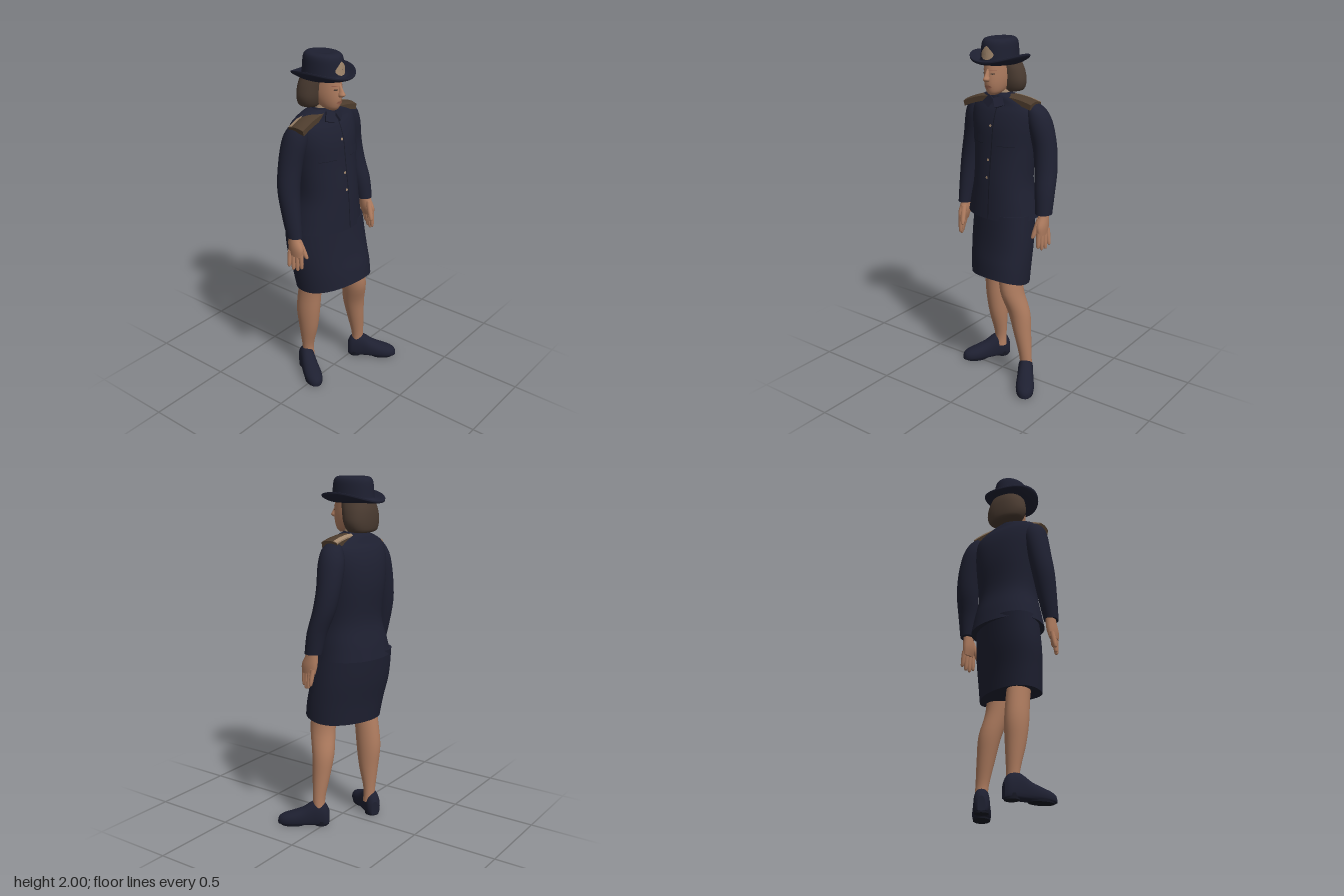
import * as THREE from 'three';

const mat = (name, color) => new THREE.MeshStandardMaterial({ name, color });

// Smooth body through horizontal ellipses [x, y, z, rx, rz]; power > 2 squares them off
function loft(rows, { steps = 4, sides = 28, power = 2, shear = 0 } = {}) {
  const rings = [], last = rows.length - 1;
  const at = i => rows[Math.min(last, Math.max(0, i))];
  for (let i = 0; i < last; i++) for (let k = 0; k < steps; k++) {
    const t = k / steps;
    rings.push(rows[i].map((b, n) => {
      const a = at(i - 1)[n], c = at(i + 1)[n], d = at(i + 2)[n];
      return b + 0.5 * t * (c - a + t * (2 * a - 5 * b + 4 * c - d + t * (3 * (b - c) + d - a)));
    }));
  }
  rings.push(rows[last]);
  const pos = [], idx = [];
  const curve = v => Math.sign(v) * Math.abs(v) ** (2 / power);
  const addRing = ([x, y, z, rx, rz]) => {
    for (let s = 0; s < sides; s++) {
      const a = s / sides * Math.PI * 2, dx = rx * curve(Math.cos(a));
      pos.push(x + dx, y, z + rz * curve(Math.sin(a)) + shear * dx);
    }
  };
  rings.forEach(addRing);
  for (let j = 0; j < rings.length - 1; j++) for (let s = 0; s < sides; s++) {
    const a = j * sides + s, b = j * sides + (s + 1) % sides;
    idx.push(a, a + sides, b, b, a + sides, b + sides);
  }
  // End caps have their own vertices so the rims stay crisp
  [rings[0], rings[rings.length - 1]].forEach((r, top) => {
    const base = pos.length / 3;
    addRing(r);
    pos.push(r[0], r[1], r[2]);
    for (let s = 0; s < sides; s++) {
      const a = base + s, b = base + (s + 1) % sides;
      idx.push(base + sides, top ? b : a, top ? a : b);
    }
  });
  const g = new THREE.BufferGeometry();
  g.setAttribute('position', new THREE.Float32BufferAttribute(pos, 3));
  g.setIndex(idx);
  g.computeVertexNormals();
  return g;
}

// Move every vertex by a rule
function bend(g, rule) {
  const p = g.attributes.position, v = new THREE.Vector3();
  for (let i = 0; i < p.count; i++) {
    rule(v.fromBufferAttribute(p, i));
    p.setXYZ(i, v.x, v.y, v.z);
  }
  g.computeVertexNormals();
  return g;
}

export function createModel() {
  const root = new THREE.Group();
  root.name = 'uniformedWoman';
  const navy = mat('navy cloth', 0x1e2031);
  const seam = mat('dark seam', 0x161824);
  const skin = mat('skin', 0xb07d60);
  const lip = mat('lips', 0x9c644f);
  const hair = mat('brown hair', 0x4a3b31);
  const braid = mat('brown shoulder board', 0x4d3c2d);
  const tan = mat('tan cloth and metal', 0xa0866c);

  const add = (name, geo, material, parent = root) => {
    const m = new THREE.Mesh(geo, material);
    m.name = name;
    parent.add(m);
    return m;
  };

  // Thin detail laid on the front of another part
  const ray = new THREE.Raycaster(), dir = new THREE.Vector3(0, 0, -1);
  const lay = (name, geo, material, target, x, y, lift = 0.004) => {
    geo.translate(x, y, 0);
    bend(geo, v => {
      ray.set(new THREE.Vector3(v.x, v.y, 5), dir);
      const hit = ray.intersectObject(target)[0];
      v.z = (hit ? hit.point.z : 0) + lift;
    });
    return add(name, geo, material);
  };

  // Jacket and skirt
  const jacket = add('jacket', loft([
    [-0.027, 1.0, -0.055, 0.226, 0.179], [-0.024, 1.09, -0.049, 0.208, 0.168],
    [-0.02, 1.22, -0.04, 0.184, 0.15], [-0.023, 1.4, -0.057, 0.196, 0.145],
    [-0.027, 1.52, -0.06, 0.212, 0.134], [-0.03, 1.6, -0.06, 0.216, 0.11],
    [-0.032, 1.645, -0.058, 0.195, 0.084], [-0.037, 1.682, -0.052, 0.12, 0.07],
    [-0.04, 1.697, -0.045, 0.06, 0.055]], { sides: 40, power: 2.2, shear: 0.09 }), navy);
  const skirt = loft([
    [-0.01, 0.615, 0.005, 0.208, 0.163], [-0.015, 0.73, -0.01, 0.217, 0.164],
    [-0.023, 0.87, -0.037, 0.224, 0.164], [-0.025, 1.03, -0.056, 0.215, 0.163]],
    { sides: 40, power: 2.15, shear: 0.26 });
  add('skirt', bend(skirt, v => {
    const lift = Math.max(0, v.z + 0.05);
    if (v.y < 0.8) v.y += lift * lift * 0.9 * (0.8 - v.y) / 0.185;
  }), navy);

  // Jacket front: closing edge, pocket flaps and buttons
  lay('frontEdge', new THREE.PlaneGeometry(0.006, 0.62, 1, 30), seam, jacket, -0.012, 1.315, 0.002);
  for (const s of [-1, 1]) {
    lay('chestPocketFlap', new THREE.PlaneGeometry(0.1, 0.045, 8, 3), navy, jacket, -0.025 + s * 0.1, 1.45, 0.009);
    lay('chestFlapEdge', new THREE.PlaneGeometry(0.1, 0.005, 8, 1), seam, jacket, -0.025 + s * 0.1, 1.426, 0.005);
  }
  for (const y of [1.53, 1.34, 1.24])
    lay('button', new THREE.CircleGeometry(0.008, 12), tan, jacket, -0.028, y, 0.006);

  // Neck, shirt collar, jacket collar and collar points
  add('neck', loft([[-0.043, 1.62, -0.045, 0.05, 0.05], [-0.044, 1.69, -0.04, 0.046, 0.048],
    [-0.045, 1.77, -0.04, 0.048, 0.055]]), skin);
  add('shirtCollar', loft([[-0.043, 1.68, -0.044, 0.058, 0.058], [-0.044, 1.717, -0.044, 0.05, 0.053]],
    { steps: 2 }), tan);
  add('collar', loft([[-0.04, 1.645, -0.045, 0.088, 0.077], [-0.042, 1.675, -0.045, 0.074, 0.068],
    [-0.043, 1.702, -0.047, 0.06, 0.06]], { steps: 2 }), navy);
  for (const s of [-1, 1]) {
    const point = add('collarPoint', new THREE.BoxGeometry(0.055, 0.055, 0.012), navy);
    point.position.set(-0.038 + s * 0.034, 1.657, 0.032);
    point.rotation.set(-0.5, s * 0.35, s * 0.5);
  }

  // Shoulder boards draped over the shoulders, with a tan rear band
  const drape = g => bend(g, v => { v.y -= 4.5 * v.z * v.z + 0.9 * v.x * v.x; });
  for (const [name, x1, y1, x2, y2] of [['right', -0.272, 1.643, -0.085, 1.697], ['left', 0.192, 1.675, 0.01, 1.7]]) {
    const board = new THREE.Group();
    board.name = name + 'ShoulderBoard';
    const length = Math.hypot(x2 - x1, y2 - y1);
    add('boardTop', drape(new THREE.BoxGeometry(length, 0.03, 0.1, 8, 1, 8)), braid, board);
    add('boardBand', drape(new THREE.BoxGeometry(length * 0.98, 0.008, 0.023, 8, 1, 3).translate(0, 0.014, -0.039)), tan, board);
    board.position.set((x1 + x2) / 2, (y1 + y2) / 2 - 0.012, -0.043);
    board.rotation.z = Math.atan((y2 - y1) / (x2 - x1));
    root.add(board);
  }

  // Sleeves
  add('rightSleeve', loft([
    [-0.302, 1.01, -0.038, 0.04, 0.046], [-0.297, 1.12, -0.06, 0.051, 0.055],
    [-0.287, 1.28, -0.086, 0.064, 0.062], [-0.263, 1.42, -0.09, 0.067, 0.068],
    [-0.236, 1.54, -0.08, 0.069, 0.075], [-0.224, 1.6, -0.07, 0.058, 0.064],
    [-0.214, 1.632, -0.062, 0.038, 0.048], [-0.2, 1.65, -0.06, 0.012, 0.02]]), navy);
  add('leftSleeve', loft([
    [0.283, 1.06, 0, 0.046, 0.05], [0.274, 1.18, -0.02, 0.057, 0.056],
    [0.256, 1.3, -0.055, 0.065, 0.063], [0.236, 1.42, -0.071, 0.068, 0.068],
    [0.207, 1.54, -0.067, 0.071, 0.075], [0.189, 1.61, -0.06, 0.059, 0.064],
    [0.175, 1.645, -0.056, 0.036, 0.046], [0.16, 1.665, -0.052, 0.012, 0.02]]), navy);

  // Hands: palm, four lightly fanned fingers and a thumb
  const hand = (name, x, y, z, side) => {
    const g = new THREE.Group();
    g.name = name;
    add('palm', loft([[side * 0.008, -0.112, 0.02, 0.018, 0.044], [side * 0.003, -0.065, 0.018, 0.027, 0.05],
      [0, -0.01, 0.005, 0.028, 0.037], [0, 0.03, 0, 0.028, 0.032]], { sides: 16 }), skin, g);
    const finger = (fname, a, b, r) => {
      const mid = (t, k) => [0, 1, 2].map(i => a[i] + (b[i] - a[i]) * t).concat(r * k, r * k);
      add(fname, loft([mid(1, 0.15), mid(0.93, 0.7), mid(0.5, 0.95), mid(0, 1)], { steps: 2, sides: 10 }), skin, g);
    };
    [0.178, 0.197, 0.202, 0.188].forEach((len, i) => {
      const fz = -0.013 + i * 0.022;
      finger('finger', [side * (0.014 - i * 0.004), -0.085, fz], [side * (0.032 - i * 0.01), -len, fz + 0.006], 0.0145);
    });
    finger('thumb', [-side * 0.006, -0.02, 0.034], [-side * 0.026, -0.13, 0.074], 0.0165);
    g.position.set(x, y, z);
    root.add(g);
  };
  hand('rightHand', -0.302, 1.01, -0.047, -1);
  hand('leftHand', 0.287, 1.06, 0.003, 1);

  // Legs
  add('rightLeg', loft([
    [-0.1, 0.08, -0.12, 0.036, 0.036], [-0.103, 0.16, -0.122, 0.038, 0.034],
    [-0.11, 0.3, -0.11, 0.055, 0.058], [-0.115, 0.43, -0.105, 0.064, 0.074],
    [-0.115, 0.57, -0.09, 0.063, 0.074], [-0.115, 0.7, -0.065, 0.065, 0.076]]), skin);
  add('leftLeg', loft([
    [0.197, 0.08, 0.03, 0.036, 0.036], [0.193, 0.16, 0.035, 0.038, 0.035],
    [0.17, 0.3, 0.034, 0.051, 0.052], [0.147, 0.43, 0.036, 0.063, 0.066],
    [0.113, 0.57, 0.062, 0.064, 0.078], [0.1, 0.7, 0.055, 0.065, 0.08]]), skin);

  // Shoes, swept from heel to toe: [distance, half width, height]
  const shoeRows = [[0, 0.022, 0.09], [0.02, 0.04, 0.13], [0.06, 0.045, 0.15], [0.1, 0.046, 0.14],
    [0.15, 0.05, 0.106], [0.21, 0.053, 0.082], [0.26, 0.045, 0.066], [0.29, 0.027, 0.05], [0.3, 0.008, 0.03]];
  const shoe = (name, x, z, turn) => {
    const g = loft(shoeRows.map(([s, w, h]) => [0, s, -0.4 * h, w, 0.6 * h]), { steps: 3, power: 2.2 });
    g.rotateX(Math.PI / 2);
    const m = add(name, bend(g, v => { v.y = Math.max(0.008, v.y); }), navy);
    m.position.set(x, 0, z);
    m.rotation.y = turn;
    // Sole and heel block
    const toe = add('sole', new THREE.CylinderGeometry(0.05, 0.048, 0.014, 24).scale(1, 1, 1.55), seam, m);
    toe.position.set(0, 0.007, 0.212);
    const heel = add('heel', new THREE.CylinderGeometry(0.043, 0.041, 0.03, 20), seam, m);
    heel.position.set(0, 0.015, 0.046);
  };
  shoe('rightShoe', -0.08, -0.178, -0.6);
  shoe('leftShoe', 0.163, -0.015, 0.58);

  // Head, nose, eyes and mouth
  const head = add('head', loft([
    [-0.045, 1.694, 0.02, 0.02, 0.03], [-0.045, 1.712, 0.002, 0.042, 0.064],
    [-0.045, 1.75, -0.018, 0.058, 0.096], [-0.045, 1.8, -0.03, 0.067, 0.11],
    [-0.045, 1.87, -0.035, 0.07, 0.11]]), skin);
  add('nose', loft([[-0.045, 1.772, 0.078, 0.011, 0.014], [-0.045, 1.785, 0.088, 0.017, 0.022],
    [-0.045, 1.805, 0.08, 0.011, 0.02], [-0.045, 1.84, 0.068, 0.008, 0.012]], { sides: 14 }), skin);
  for (const s of [-1, 1]) {
    lay('eye', new THREE.CircleGeometry(0.01, 14).scale(1, 0.4, 1), hair, head, -0.045 + s * 0.029, 1.815, 0.003);
    lay('eyebrow', new THREE.PlaneGeometry(0.03, 0.004, 4, 1), lip, head, -0.045 + s * 0.03, 1.835, 0.003);
  }
  lay('mouth', new THREE.CircleGeometry(0.024, 16).scale(1, 0.42, 1), lip, head, -0.045, 1.742, 0.005);

  // Bobbed hair around the back and sides, tucked under the hat
  add('hair', loft([
    [-0.043, 1.7, -0.105, 0.07, 0.045], [-0.043, 1.712, -0.1, 0.104, 0.066],
    [-0.043, 1.76, -0.093, 0.122, 0.08], [-0.043, 1.82, -0.085, 0.113, 0.086],
    [-0.044, 1.868, -0.072, 0.094, 0.088]], { sides: 32, power: 2.3 }), hair);

  // Hat: brim underside, rim, brim top and crown in one sweep, with the sides curled up
  const hatRows = [[1.862, 0.07, 0.095], [1.862, 0.12, 0.145], [1.868, 0.152, 0.178], [1.875, 0.155, 0.183],
    [1.882, 0.152, 0.18], [1.878, 0.12, 0.145], [1.882, 0.1, 0.129], [1.9, 0.096, 0.125],
    [1.945, 0.093, 0.121], [1.975, 0.089, 0.116], [1.993, 0.079, 0.104], [2, 0.058, 0.08], [1.997, 0.03, 0.045]];
  const hat = add('hat', bend(loft(hatRows.map(([y, rx, rz]) => [-0.045, y, -0.038, rx, rz]),
    { steps: 3, sides: 48 }), v => {
    const dx = (v.x + 0.045) / 0.155, dz = (v.z + 0.038) / 0.183, r = Math.hypot(dx, dz);
    if (v.y < 1.89 && r > 0.7) {
      const t = (r - 0.7) / 0.3;
      v.y += t * (0.6 + 0.4 * t) * 0.04 * (dx / r) ** 2 + t * 0.008 * dz;
    }
  }), navy);

  // Plain hat badge, wide below and narrow above
  const badge = bend(new THREE.RingGeometry(0.001, 0.042, 20, 4), v => {
    v.x *= v.y > 0 ? 1 - 14 * v.y : 1;
    v.y *= v.y > 0 ? 1 : 0.75;
  });
  lay('hatBadge', badge, tan, hat, -0.045, 1.922, 0.005);
  return root;
}
